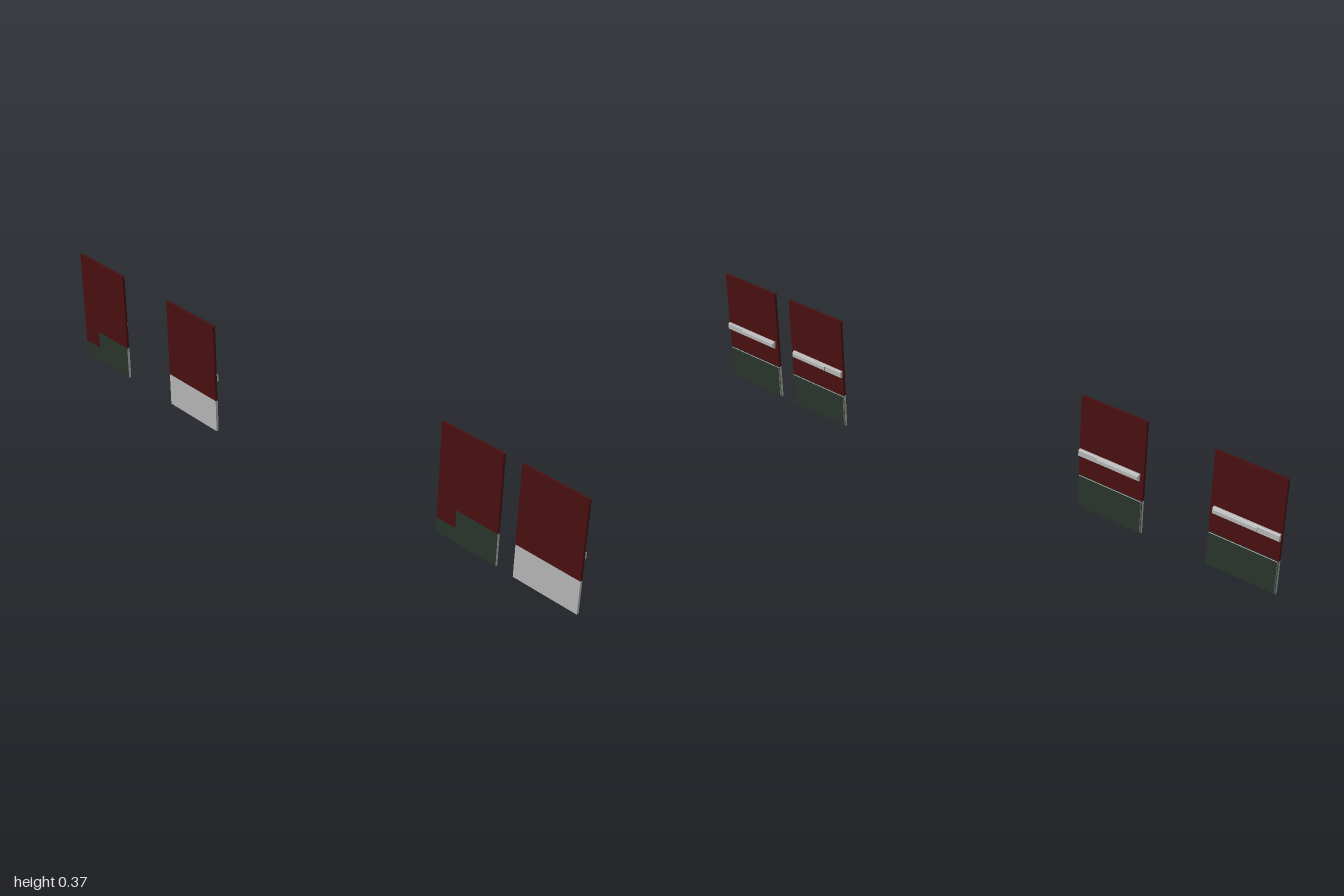
import * as THREE from 'three';

const mat = (name, color) => {
  const m = new THREE.MeshStandardMaterial({ color });
  m.name = name;
  return m;
};

export function createModel() {
  const red = mat('dark red paint', 0x480f10);
  const green = mat('dark green paint', 0x28332a);
  const steel = mat('brushed steel', 0xb4b4b4);

  const model = new THREE.Group();
  model.name = 'doorLeaves';

  // Box given by its lower and upper corners
  const box = (parent, name, material, [x0, y0, z0], [x1, y1, z1]) => {
    const mesh = new THREE.Mesh(new THREE.BoxGeometry(x1 - x0, y1 - y0, z1 - z0), material);
    mesh.position.set((x0 + x1) / 2, (y0 + y1) / 2, (z0 + z1) / 2);
    mesh.name = name;
    parent.add(mesh);
  };

  // Bar with chamfered outer edges, its profile in x and y run along z
  const bar = (parent, name, x0, x1, y0, y1, c, z0, z1) => {
    const profile = new THREE.Shape([[x0, y0], [x1 - c, y0], [x1, y0 + c], [x1, y1 - c], [x1 - c, y1], [x0, y1]]
      .map(([x, y]) => new THREE.Vector2(x, y)));
    const geometry = new THREE.ExtrudeGeometry(profile, { depth: z1 - z0, bevelEnabled: false });
    const mesh = new THREE.Mesh(geometry, steel);
    mesh.position.z = z0;
    mesh.name = name;
    parent.add(mesh);
  };

  const W = 0.223, H = 0.37, T = 0.008, KICK = 0.11;

  // Back face x, low z edge, side of the latch end, painted or bare back
  const leaves = [
    { x: 0.047, z: 1 - W, dir: 1, painted: false },
    { x: 0.047, z: 0.491, dir: -1, painted: true },
    { x: -0.068, z: -0.558, dir: 1, painted: false },
    { x: -0.068, z: -1, dir: -1, painted: true },
  ];

  for (const { x, z, dir, painted } of leaves) {
    const door = new THREE.Group();
    door.name = 'door';
    door.position.set(x, 0, z + W / 2);
    model.add(door);
    const h = W / 2;

    // Door leaf: red above, steel-edged kick area below
    box(door, 'upperPanel', red, [0, KICK, -h], [T, H, h]);
    const back = painted ? green : steel;
    box(door, 'lowerPanel', [green, back, steel, steel, steel, steel], [0, 0, -h], [T, KICK, h]);
    box(door, 'kickPlate', [green, steel, steel, steel, steel, steel],
      [T, 0.004, -h + 0.003], [T + 0.003, KICK - 0.003, h - 0.003]);

    // Red corner on the painted backs
    if (painted) box(door, 'backCorner', red, [-0.0006, 0.05, -h], [0, KICK, -h + 0.07]);

    // Push bar: a full-length rail and a raised pad away from the latch end
    const span = (a, b) => [a * dir, b * dir].sort((p, q) => p - q);
    bar(door, 'pushBarRail', T, T + 0.009, 0.175, 0.198, 0.003, ...span(-h + 0.012, h - 0.002));
    bar(door, 'pushBarPad', T + 0.009, T + 0.012, 0.179, 0.194, 0.002, ...span(-h + 0.014, 0.042));
  }

  return model;
}
